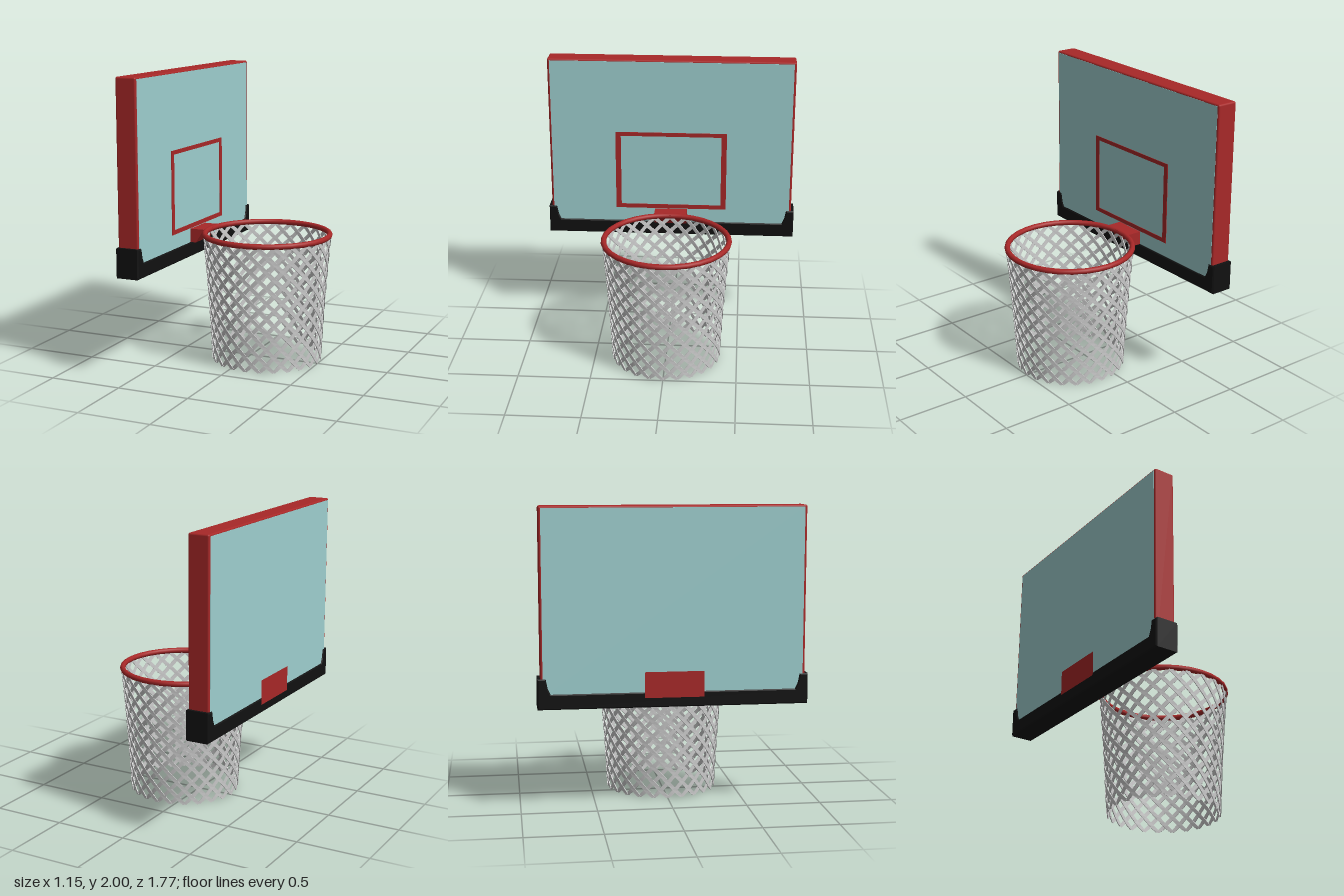
import * as THREE from 'three';
import { RoundedBoxGeometry } from 'three/addons/geometries/RoundedBoxGeometry.js';
import { mergeGeometries } from 'three/addons/utils/BufferGeometryUtils.js';

const mat = (color, extra = {}) => new THREE.MeshStandardMaterial({ color, ...extra });
const polygon = (pts) => new THREE.Shape(pts.map(([x, y]) => new THREE.Vector2(x, y)));

// Net outline: radius at height y
const netRadius = (y) => 0.376 + 0.045 * y + 0.027 * y * y;

// One flat cord winding down the net, rectangular in section
function netCord(start, dir) {
  const steps = 26, height = 0.872, sweep = Math.PI * 2 / 3;
  const halfWidth = 0.013, halfThick = 0.003;
  const pos = [], index = [];
  for (let i = 0; i <= steps; i++) {
    const t = i / steps, y = t * height, a = start + dir * t * sweep;
    const r = netRadius(y) + dir * 0.002;
    const out = new THREE.Vector3(Math.cos(a), 0, Math.sin(a));
    const around = new THREE.Vector3(-Math.sin(a), 0, Math.cos(a));
    const along = around.clone().multiplyScalar(dir * r * sweep).add(new THREE.Vector3(0, height, 0)).normalize();
    const side = new THREE.Vector3().crossVectors(out, along);
    for (const [w, d] of [[-1, -1], [1, -1], [1, 1], [-1, 1]]) {
      const p = out.clone().multiplyScalar(r + d * halfThick).addScaledVector(side, w * halfWidth);
      pos.push(p.x, Math.max(0, p.y + y), p.z);
    }
    if (i === steps) break;
    for (let k = 0; k < 4; k++) {
      const a0 = i * 4 + k, b0 = i * 4 + (k + 1) % 4;
      index.push(a0, b0, a0 + 4, b0, b0 + 4, a0 + 4);
    }
  }
  const g = new THREE.BufferGeometry();
  g.setAttribute('position', new THREE.Float32BufferAttribute(pos, 3));
  g.setIndex(index);
  const flat = g.toNonIndexed();
  flat.computeVertexNormals();
  return flat;
}

export function createModel() {
  const model = new THREE.Group();
  const red = mat(0xa82828), glass = mat(0x9fd0d0), black = mat(0x111111);
  const add = (name, geometry, material, x = 0, y = 0, z = 0) => {
    const mesh = new THREE.Mesh(geometry, material);
    mesh.name = name;
    mesh.position.set(x, y, z);
    model.add(mesh);
    return mesh;
  };
  // Extrude a (z, y) outline along x, from the front face backwards
  const extrudeX = (shape, depth, bevel = 0) => new THREE.ExtrudeGeometry(shape, {
    depth: depth - 2 * bevel, bevelEnabled: bevel > 0, bevelSize: bevel,
    bevelThickness: bevel, bevelOffset: -bevel, bevelSegments: 1,
  }).rotateY(-Math.PI / 2).translate(-bevel, 0, 0);

  // Backboard: red edge frame with a pane showing on both faces
  add('boardFrame', new RoundedBoxGeometry(0.146, 1.25, 1.73, 2, 0.012), red, -0.485, 1.375, 0);
  add('boardPane', new THREE.BoxGeometry(0.149, 1.21, 1.70), glass, -0.485, 1.383, 0);

  // Target rectangle on the front of the pane
  const target = polygon([[-0.395, 0.9], [0.395, 0.9], [0.395, 1.475], [-0.395, 1.475]]);
  target.holes.push(polygon([[-0.357, 0.93], [-0.357, 1.447], [0.357, 1.447], [0.357, 0.93]]));
  add('targetSquare', extrudeX(target, 0.01), red, -0.407);

  // Bottom padding with raised corners
  const padding = polygon([
    [-0.885, 0.7], [0.885, 0.7], [0.885, 0.9], [0.83, 0.9], [0.818, 0.84], [0.8, 0.8],
    [-0.8, 0.8], [-0.818, 0.84], [-0.83, 0.9], [-0.885, 0.9],
  ]);
  add('bottomPadding', extrudeX(padding, 0.164, 0.008), black, -0.403);

  // Bracket joining rim and board
  const bracket = polygon([
    [-0.45, 0.8], [-0.37, 0.8], [-0.325, 0.87], [-0.295, 0.875], [-0.295, 0.895], [-0.45, 0.895],
  ]);
  add('rimBracket', new THREE.ExtrudeGeometry(bracket, { depth: 0.23, bevelEnabled: false }), red, 0, 0, -0.115);

  // Mounting plate on the back, flaring outwards
  const plate = new THREE.BoxGeometry(0.02, 0.17, 0.39);
  const p = plate.attributes.position;
  for (let i = 0; i < p.count; i++) {
    if (p.getX(i) > 0) p.setXYZ(i, p.getX(i), p.getY(i) * 0.6, p.getZ(i) * 0.5);
  }
  plate.computeVertexNormals();
  add('backPlate', plate, red, -0.57, 0.85, 0);

  // Rim
  add('rim', new THREE.TorusGeometry(0.431, 0.019, 10, 32).rotateX(Math.PI / 2), red, 0.12, 0.882, 0);

  // Net: crossing cords in both directions
  const cords = [], count = 24;
  for (let i = 0; i < count; i++) {
    for (const dir of [-1, 1]) cords.push(netCord(i / count * Math.PI * 2, dir));
  }
  add('net', mergeGeometries(cords), mat(0xcccccc, { side: THREE.DoubleSide }), 0.12, 0, 0);

  return model;
}
